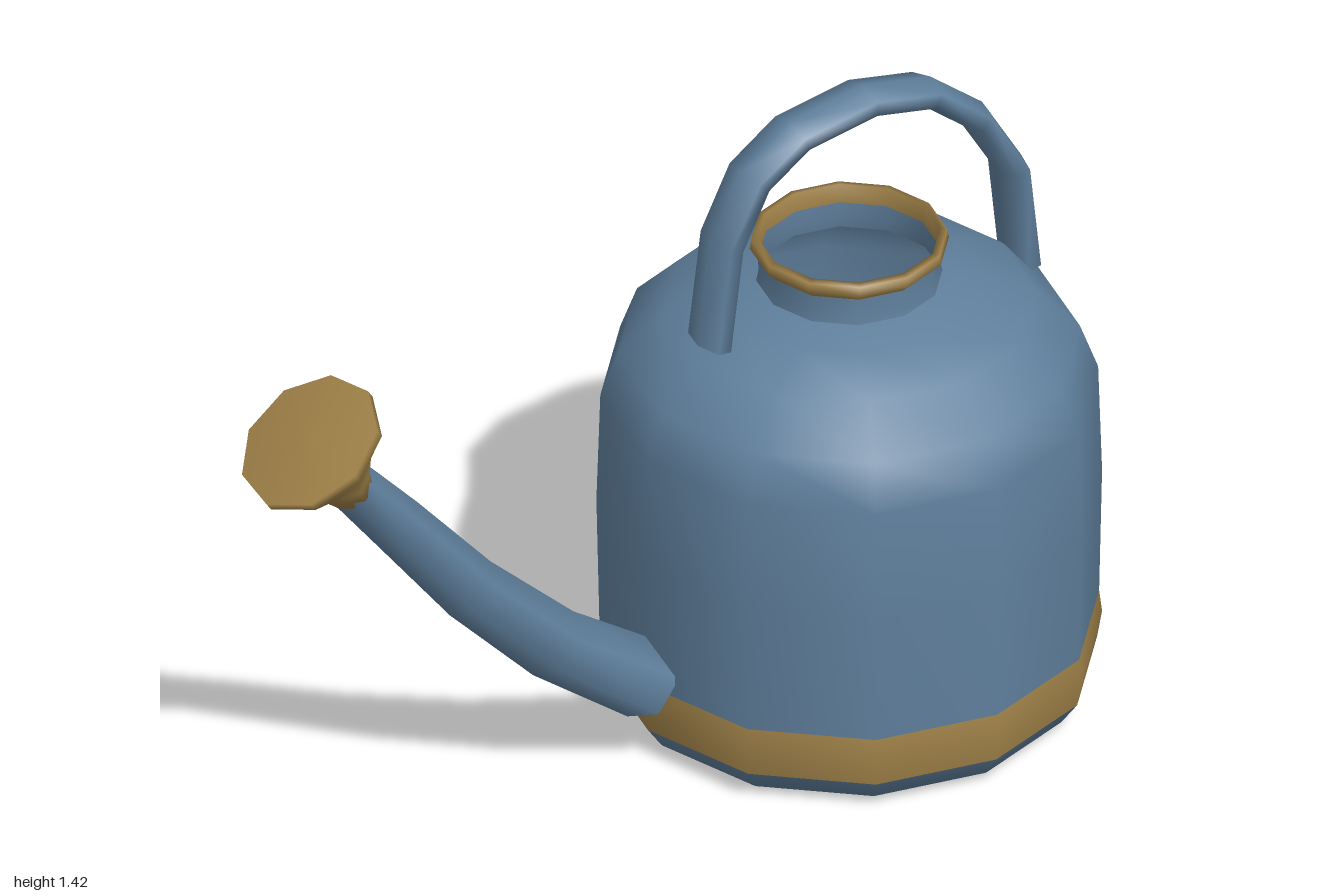
import * as THREE from 'three';

const BODY_Z = -0.485;
const blue = new THREE.MeshStandardMaterial({ color: 0x5f7f9c, side: THREE.DoubleSide });
const gold = new THREE.MeshStandardMaterial({ color: 0x9f8148, side: THREE.DoubleSide });

function named(name, geometry, material) {
  const mesh = new THREE.Mesh(geometry, material);
  mesh.name = name;
  return mesh;
}

// Turned part from [radius, height] pairs, listed from bottom to top
function turned(name, profile, material, sides = 12, start = 0) {
  const points = profile.map(([r, y]) => new THREE.Vector2(r, y));
  return named(name, new THREE.LatheGeometry(points, sides, start), material);
}

// Capped six-sided tube along [z, y] points in the middle plane;
// radii(t) gives the half sizes across (x) and in the plane of the path
function hexTube(name, path, radii, material) {
  const sides = 6, pos = [], index = [], last = path.length - 1;
  const ring = (i) => {
    const [z, y] = path[i];
    const a = path[Math.max(i - 1, 0)], b = path[Math.min(i + 1, last)];
    const len = Math.hypot(b[0] - a[0], b[1] - a[1]);
    const tz = (b[0] - a[0]) / len, ty = (b[1] - a[1]) / len;
    const [rx, rn] = radii(i / last);
    const first = pos.length / 3;
    for (let j = 0; j < sides; j++) {
      const ang = (j + 0.5) * Math.PI / 3;
      const n = rn * Math.sin(ang);
      pos.push(rx * Math.cos(ang), y + n * tz, z - n * ty);
    }
    return first;
  };
  const rings = path.map((_, i) => ring(i));
  for (let i = 0; i < last; i++) {
    for (let j = 0; j < sides; j++) {
      const k = (j + 1) % sides;
      const a = rings[i] + j, b = rings[i] + k, c = rings[i + 1] + k, d = rings[i + 1] + j;
      index.push(a, b, c, a, c, d);
    }
  }
  // End caps have their own corners, so their edges stay sharp
  const s = ring(0), e = ring(last);
  for (let j = 1; j < sides - 1; j++) {
    index.push(s, s + j + 1, s + j, e, e + j, e + j + 1);
  }
  const geometry = new THREE.BufferGeometry();
  geometry.setAttribute('position', new THREE.Float32BufferAttribute(pos, 3));
  geometry.setIndex(index);
  geometry.computeVertexNormals();
  return named(name, geometry, material);
}

export function createModel() {
  const model = new THREE.Group();
  model.name = 'wateringCan';

  // Container: base, band, body, neck and rim share one axis
  const container = new THREE.Group();
  container.name = 'container';
  container.position.z = BODY_Z;
  container.add(
    turned('floor', [[0, 0], [0.39, 0.003]], blue),
    turned('baseEdge', [[0.39, 0.003], [0.47, 0.02], [0.505, 0.07]], blue),
    turned('band', [[0.505, 0.07], [0.515, 0.13], [0.509, 0.18]], gold),
    turned('body', [[0.509, 0.18], [0.515, 0.47], [0.507, 0.72], [0.47, 0.82],
      [0.38, 0.91], [0.27, 0.955], [0.19, 0.975]], blue),
    turned('neck', [[0.19, 0.97], [0.185, 1.0], [0.186, 1.04]], blue),
    turned('rim', [[0.184, 1.032], [0.203, 1.052], [0.2, 1.072], [0.185, 1.075], [0.184, 1.032]], gold),
  );
  model.add(container);

  // Tapered spout
  model.add(hexTube('spout',
    [[0.02, 0.19], [0.257, 0.369], [0.465, 0.58], [0.644, 0.8], [0.77, 0.95]],
    (t) => { const r = 0.085 - 0.033 * t; return [r, r]; }, blue));

  // Sprinkler head, tilted forward
  const rose = turned('sprinklerHead', [[0, 0], [0.048, 0], [0.06, 0.04], [0.094, 0.098],
    [0.157, 0.17], [0.157, 0.19], [0, 0.195]], gold, 9, Math.PI / 2);
  rose.position.set(0, 0.93, 0.76);
  rose.rotation.x = 0.607;
  model.add(rose);

  // Arched handle, wider than thick
  model.add(hexTube('handle',
    [[-0.135, 0.945], [-0.166, 1.176], [-0.235, 1.305], [-0.342, 1.37], [-0.519, 1.388],
      [-0.674, 1.348], [-0.794, 1.246], [-0.885, 1.094], [-0.912, 0.856]],
    () => [0.061, 0.031], blue));

  return model;
}
